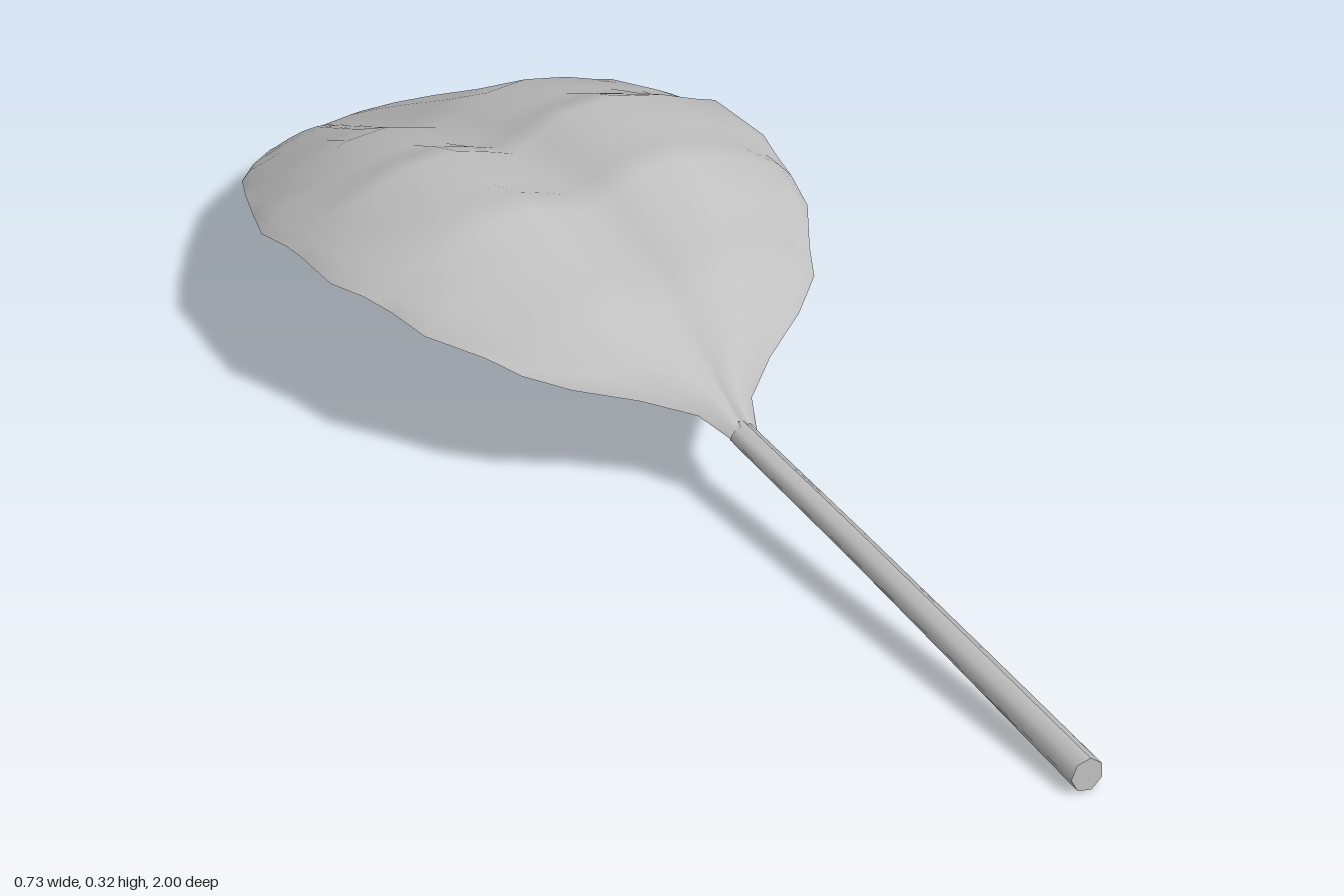
import * as THREE from 'three';

const grey = new THREE.MeshStandardMaterial({ color: 0xc0c0c0, side: THREE.DoubleSide });
grey.name = 'soft grey';

// Builds a smooth surface through equal-length rows of [x, y, z] points
function loft(rows) {
  const n = rows[0].length, index = [];
  for (let i = 0; i < rows.length - 1; i++) {
    for (let j = 0; j < n - 1; j++) {
      const a = i * n + j, b = a + 1, c = a + n, d = c + 1;
      index.push(a, b, c, b, d, c);
    }
  }
  const g = new THREE.BufferGeometry();
  g.setAttribute('position', new THREE.Float32BufferAttribute(rows.flat(2), 3));
  g.setIndex(index);
  g.computeVertexNormals();
  return g;
}

// Leaf stations: z, half width, rim height, crest height
const stations = [
  [0.1, 0.022, 0.12, 0.135], [0.05, 0.045, 0.14, 0.16], [0, 0.11, 0.16, 0.19],
  [-0.05, 0.19, 0.18, 0.21], [-0.1, 0.245, 0.195, 0.24], [-0.15, 0.275, 0.208, 0.27],
  [-0.23, 0.32, 0.22, 0.28], [-0.3, 0.335, 0.226, 0.315], [-0.35, 0.35, 0.23, 0.32],
  [-0.41, 0.362, 0.228, 0.305], [-0.5, 0.358, 0.221, 0.31], [-0.55, 0.352, 0.21, 0.29],
  [-0.62, 0.342, 0.193, 0.255], [-0.7, 0.31, 0.17, 0.24], [-0.79, 0.265, 0.138, 0.185],
  [-0.87, 0.215, 0.106, 0.14], [-0.93, 0.16, 0.083, 0.105], [-0.97, 0.105, 0.068, 0.08],
  [-1, 0.004, 0.055, 0.056],
];

// Half cross-section: position across, share of the crest height
const section = [
  [0, 0.58], [0.12, 0.78], [0.27, 1], [0.48, 1], [0.7, 0.7], [0.84, 0.4], [0.94, 0.2], [1, 0],
];

function leafGeometry() {
  const across = [...section.slice(1).reverse().map(([u, h]) => [-u, h]), ...section];
  return loft(stations.map(([z, w, rim, crest], i) => across.map(([u, h]) => {
    const edge = Math.abs(u);
    // Rippled margin, with the two sides out of step
    const ripple = Math.sin(i * 2.1 + (u < 0 ? 1.3 : 0)) * edge ** 4;
    const fade = Math.min(1, w / 0.3);
    const y = rim + h * (crest - rim) + (edge < 1 ? ripple * 0.012 * fade : 0);
    return [u * w * (1 + 0.012 * ripple), y, z];
  })));
}

// Stalk rings: x, y, z, radius
const rings = [
  [-0.004, 0.028, 1, 0.027], [-0.004, 0.062, 0.7, 0.024],
  [-0.004, 0.095, 0.4, 0.021], [0, 0.119, 0.09, 0.019],
];
const SIDES = 7;
const ring = ([x, y, z, r]) => Array.from({ length: SIDES + 1 }, (_, k) => {
  const a = -(k / SIDES) * Math.PI * 2 + 0.2;
  return [x + r * Math.sin(a), y + r * Math.cos(a), z];
});

export function createModel() {
  const group = new THREE.Group();
  group.name = 'leaf';
  const add = (geometry, name) => {
    const mesh = new THREE.Mesh(geometry, grey);
    mesh.name = name;
    group.add(mesh);
    return mesh;
  };

  add(leafGeometry(), 'blade');
  add(loft(rings.map(ring).map((r) => r.reverse())), 'stalk');

  // Flat ends of the stalk
  [[rings[0], 'stalkFrontEnd', 0], [rings[3], 'stalkBackEnd', Math.PI]].forEach(([r, name, turn]) => {
    const cap = add(new THREE.CircleGeometry(r[3], SIDES, Math.PI / 2 - 0.2), name);
    cap.position.set(r[0], r[1], r[2]);
    cap.rotation.y = turn;
  });
  return group;
}
